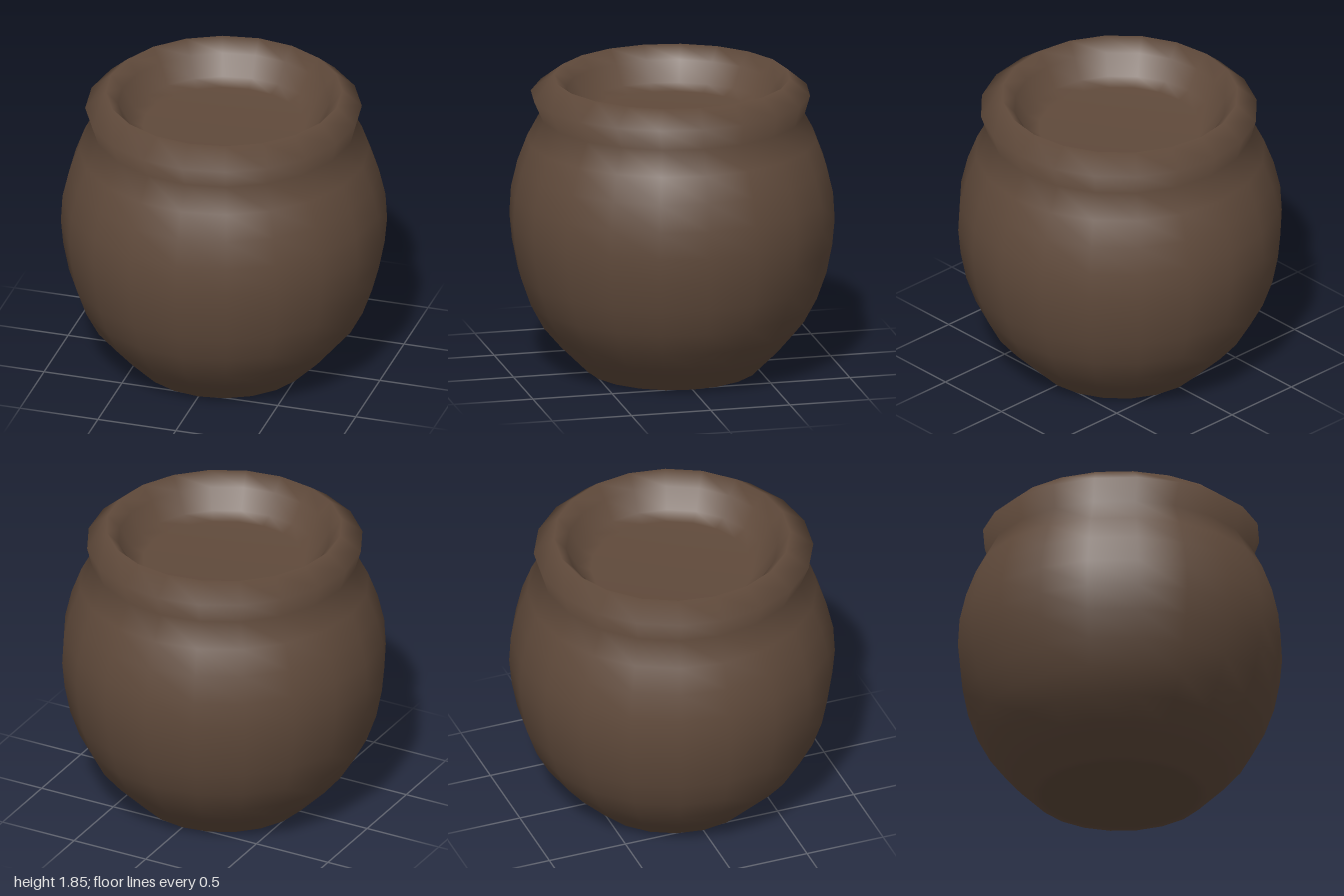
import * as THREE from 'three';

const SIDES = 20;

// One smooth profile (radius, height) from the underside to the middle of the inner floor.
const UNDERSIDE = [[0, 0], [0.48, 0]];
const BELLY = [
  [0.53, 0], [0.70, 0.17], [0.81, 0.30], [0.89, 0.45], [0.95, 0.62],
  [0.985, 0.80], [1.0, 0.96], [0.99, 1.13], [0.95, 1.30], [0.89, 1.46],
];
const NECK = [0.81, 1.61];
const LIP = [0.847, 1.745];
const MOUTH = [[0.725, 1.85], [0.65, 1.77], [0.58, 1.645], [0.5, 1.61], [0, 1.61]];
const PROFILE = [...UNDERSIDE, ...BELLY, NECK, LIP, ...MOUTH];

export function createModel() {
  const group = new THREE.Group();
  group.name = 'pot';

  const points = PROFILE.map(([r, y]) => new THREE.Vector2(r, y));
  const geometry = new THREE.LatheGeometry(points, SIDES);

  // The lip is a little deeper than wide and sits slightly forward
  const pos = geometry.attributes.position;
  for (let i = PROFILE.indexOf(LIP); i < pos.count; i += PROFILE.length) {
    pos.setZ(i, pos.getZ(i) * 1.015 + 0.01);
  }

  // Pot body with base, rim and shallow mouth
  const body = new THREE.Mesh(geometry, new THREE.MeshStandardMaterial({ color: 0x604a3b }));
  body.name = 'potBody';
  group.add(body);
  return group;
}
